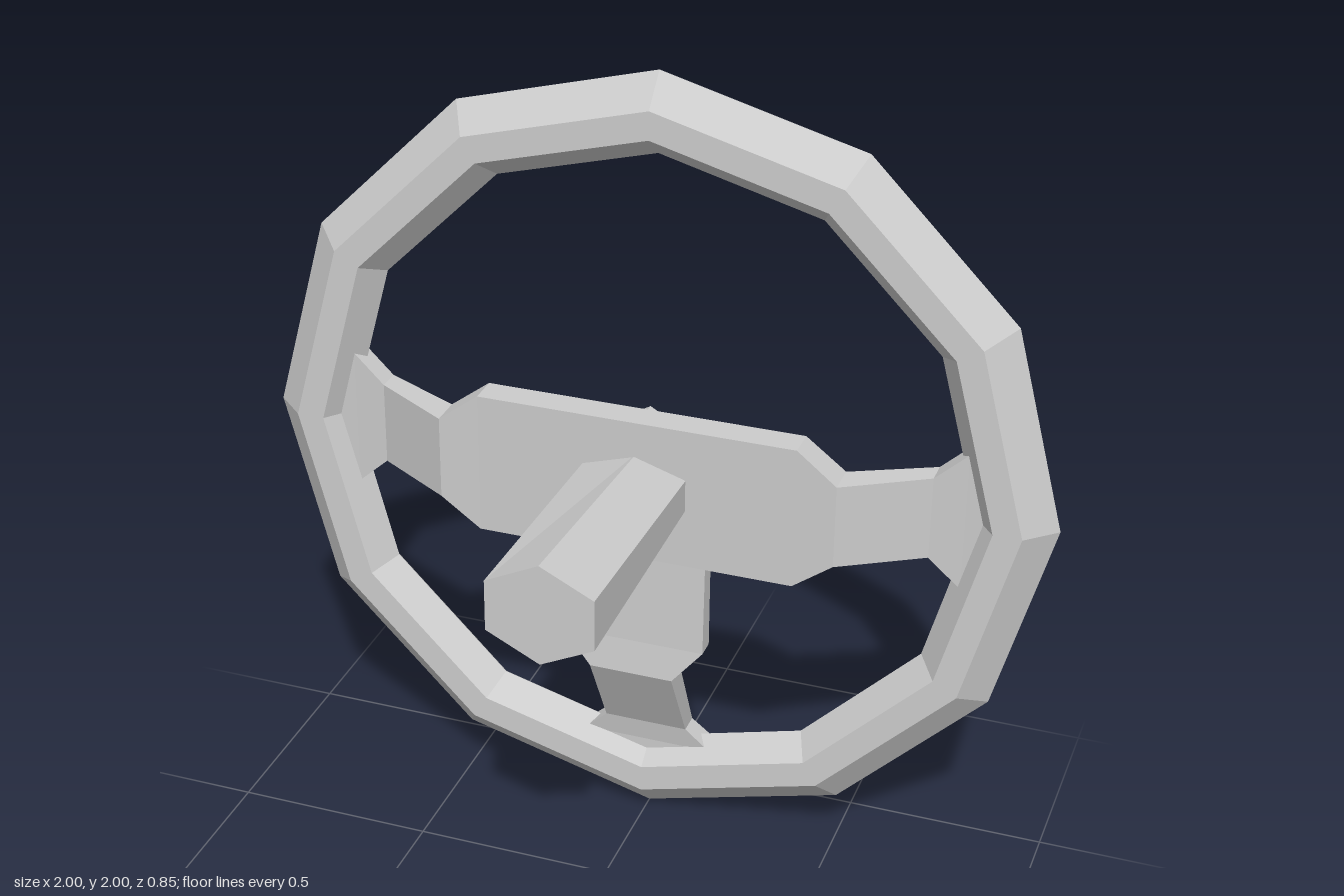
import * as THREE from 'three';

const material = new THREE.MeshStandardMaterial({ color: 0xcccccc, flatShading: true });

function addMesh(group, name, geometry) {
  const mesh = new THREE.Mesh(geometry, material);
  mesh.name = name;
  group.add(mesh);
  return mesh;
}

// Loft along +x through rectangular sections [x, halfWidth, zFront, zBack]
function loft(sections) {
  const pos = [], idx = [];
  for (const [x, w, f, b] of sections) pos.push(x, w, f, x, -w, f, x, -w, b, x, w, b);
  const last = (sections.length - 1) * 4;
  for (let s = 0; s < last; s += 4) {
    for (let i = 0; i < 4; i++) {
      const j = (i + 1) % 4;
      idx.push(s + i, s + j, s + 4 + j, s + i, s + 4 + j, s + 4 + i);
    }
  }
  idx.push(0, 2, 1, 0, 3, 2, last, last + 1, last + 2, last, last + 2, last + 3);
  const g = new THREE.BufferGeometry();
  g.setAttribute('position', new THREE.Float32BufferAttribute(pos, 3));
  g.setIndex(idx);
  g.computeVertexNormals();
  return g;
}

// Six-sided bar along z with a corner pointing up
function hexBar(radius, zBack, zFront) {
  const g = new THREE.CylinderGeometry(radius, radius, zFront - zBack, 6);
  g.rotateX(Math.PI / 2);
  g.translate(0, 0, (zFront + zBack) / 2);
  return g;
}

export function createModel() {
  const model = new THREE.Group();
  model.name = 'steeringWheel';

  // Twelve-sided rim with a hexagonal section, leaning back slightly
  const profile = [[1, 0], [0.925, 0.07], [0.855, 0.07], [0.8, 0], [0.855, -0.07], [0.925, -0.07], [1, 0]]
    .map(([r, y]) => new THREE.Vector2(r, y)).reverse();
  const rimGeometry = new THREE.LatheGeometry(profile, 12);
  // profile runs up the outer side, so faces point outward
  rimGeometry.setIndex(flip(rimGeometry, profile));
  rimGeometry.rotateX(Math.PI / 2);
  const rim = addMesh(model, 'rim', rimGeometry);
  rim.position.set(0, 1.003, -0.345);
  rim.rotation.x = -0.009;

  // Hub plate running into both side spokes, which step back and flare at the rim
  const half = [
    [0.4, 0.183, -0.195, -0.272],
    [0.5, 0.107, -0.19, -0.272],
    [0.7, 0.107, -0.31, -0.37],
    [0.78, 0.18, -0.315, -0.375],
    [0.84, 0.09, -0.315, -0.375],
  ];
  const mirrored = half.map(([x, ...rest]) => [-x, ...rest]).reverse();
  addMesh(model, 'hubAndSideSpokes', loft([...mirrored, ...half])).position.y = 1;

  // Lower spoke, built along x and turned to point down
  const lower = addMesh(model, 'lowerSpoke', loft([
    [0.15, 0.183, -0.197, -0.24],
    [0.42, 0.183, -0.19, -0.24],
    [0.51, 0.107, -0.18, -0.25],
    [0.73, 0.107, -0.3, -0.355],
    [0.79, 0.167, -0.31, -0.37],
    [0.84, 0.09, -0.31, -0.37],
  ]));
  lower.position.y = 1;
  lower.rotation.z = -Math.PI / 2;

  // Steering column: constant width, but thinner in height toward the hub
  const columnGeometry = hexBar(0.15, -0.22, 0.425);
  const p = columnGeometry.attributes.position;
  for (let i = 0; i < p.count; i++) {
    const t = (p.getZ(i) + 0.22) / 0.645;
    p.setY(i, p.getY(i) * THREE.MathUtils.lerp(0.54, 0.85, t));
  }
  columnGeometry.computeVertexNormals();
  addMesh(model, 'column', columnGeometry).position.y = 1.01;

  // Hexagonal cap on the back of the hub
  addMesh(model, 'hubCap', hexBar(0.17, -0.315, -0.24)).position.y = 1;

  return model;
}

// Winds the lathe faces so that they point away from the section's centre
function flip(geometry, profile) {
  const index = Array.from(geometry.index.array);
  const area = profile.reduce((sum, a, i) => {
    const b = profile[(i + 1) % profile.length];
    return sum + a.x * b.y - b.x * a.y;
  }, 0);
  if (area < 0) for (let i = 0; i < index.length; i += 3) [index[i], index[i + 1]] = [index[i + 1], index[i]];
  return index;
}
